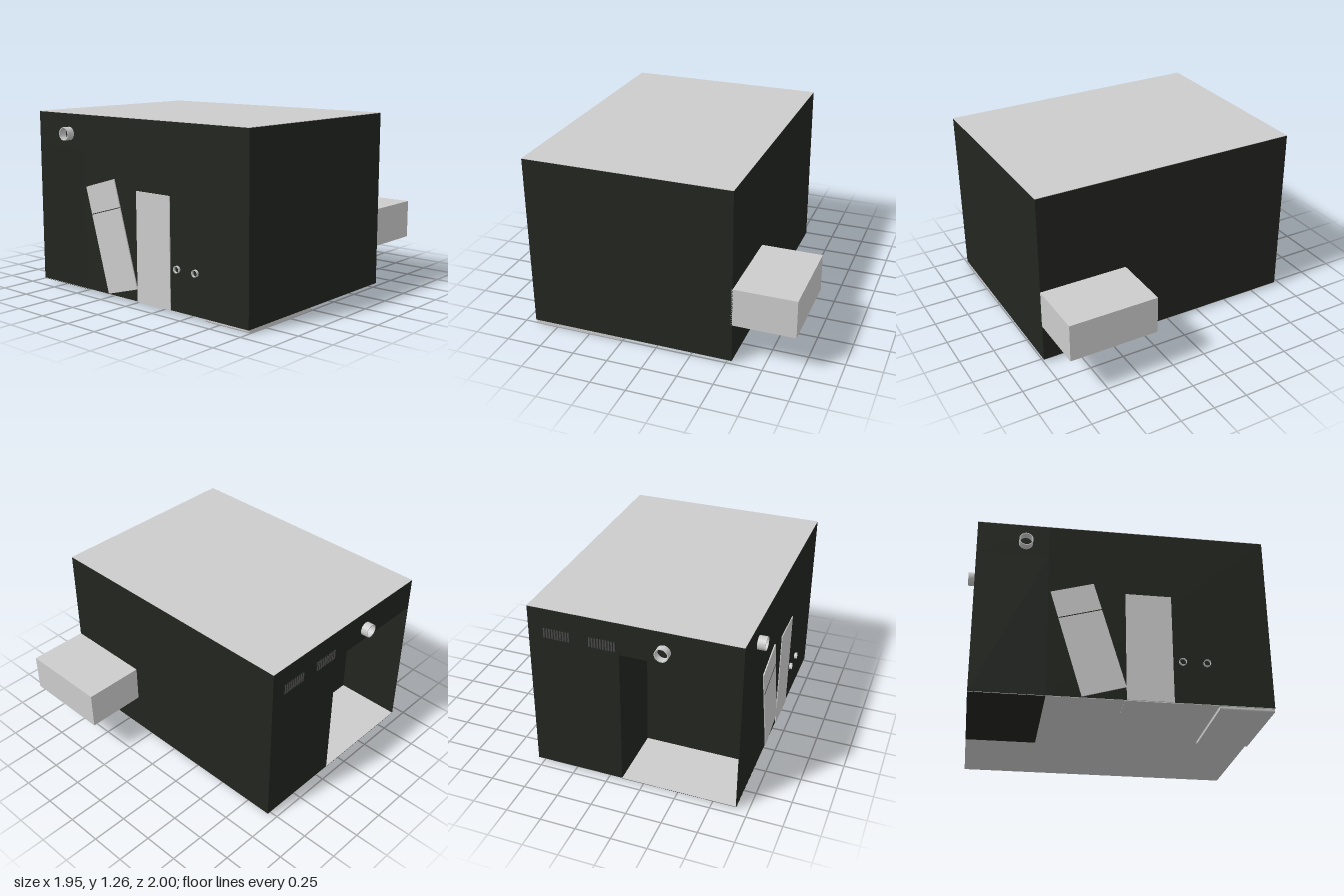
import * as THREE from 'three';

export function createModel() {
  const model = new THREE.Group();
  const grey = new THREE.MeshStandardMaterial({ color: 0xcccccc, side: THREE.DoubleSide });
  const dark = new THREE.MeshStandardMaterial({ color: 0x22251f });
  const slate = new THREE.MeshStandardMaterial({ color: 0x4a4a4a });

  const add = (name, geometry, material, parent = model) => {
    const mesh = new THREE.Mesh(geometry, material);
    mesh.name = name;
    parent.add(mesh);
    return mesh;
  };

  // Box given by its limits on each axis
  const box = (name, material, x0, x1, y0, y1, z0, z1, parent = model) => {
    const mesh = add(name, new THREE.BoxGeometry(x1 - x0, y1 - y0, z1 - z0), material, parent);
    mesh.position.set((x0 + x1) / 2, (y0 + y1) / 2, (z0 + z1) / 2);
    return mesh;
  };

  // Building: main room, back room and the walls around the porch recess
  box('mainRoom', dark, -0.92, 0.54, 0.023, 1.257, -0.47, 1);
  box('backRoom', dark, -0.1, 0.54, 0.023, 1.257, -0.95, -0.47);
  box('porchLintel', dark, -0.92, -0.1, 1.025, 1.257, -0.95, -0.47);
  box('porchSideWall', dark, -0.92, -0.916, 0.023, 1.025, -0.95, -0.47);
  box('roof', grey, -0.92, 0.54, 1.257, 1.26, -0.95, 1);
  box('floor', grey, -0.92, 0.54, 0.02, 0.023, -0.95, 1);
  box('porchUnderside', dark, -0.92, -0.1, 0.018, 0.02, -0.95, -0.47);
  box('porchSlot', grey, -0.83, -0.69, 0.755, 0.762, -0.474, -0.47);

  // Side annex
  box('sideAnnex', grey, 0.53, 0.97, 0.3, 0.57, 0.36, 1);

  // Rounded slab under the front corner
  const w = 0.64, d = 0.36, r = 0.012;
  const slab = new THREE.Shape();
  slab.moveTo(0, 0.02);
  slab.lineTo(0, r);
  slab.quadraticCurveTo(0, 0, r, 0);
  slab.lineTo(w - r, 0);
  slab.quadraticCurveTo(w, 0, w, r);
  slab.lineTo(w, 0.02);
  const slabMesh = add('baseSlab', new THREE.ExtrudeGeometry(slab, { depth: d, bevelEnabled: false }), grey);
  slabMesh.position.set(-0.91, 0, 0.64);

  // Louvred vents on the back wall
  for (const x of [-0.08, 0.24]) {
    const vent = new THREE.Group();
    vent.name = 'louvredVent';
    model.add(vent);
    box('ventPlate', dark, x, x + 0.197, 1.04, 1.12, -0.953, -0.95, vent);
    for (let i = 0; i < 10; i++) {
      const sx = x + 0.006 + i * 0.0193;
      box('ventSlat', slate, sx, sx + 0.01, 1.045, 1.115, -0.957, -0.953, vent);
    }
  }

  // Hollow pipe running along +z, with its mouth at z = 0
  const pipe = (name, radius, length) => {
    const wall = radius * 0.12;
    const profile = [[radius, length], [radius, 0], [radius - wall, 0], [radius - wall, length]]
      .map(([a, b]) => new THREE.Vector2(a, b));
    const geometry = new THREE.LatheGeometry(profile, 32).toNonIndexed();
    geometry.computeVertexNormals();
    geometry.rotateX(Math.PI / 2);
    return add(name, geometry, grey);
  };
  pipe('backVentPipe', 0.048, 0.05).position.set(-0.402, 1.117, -1);
  const sidePipe = (name, radius, length, y, z) => {
    const mesh = pipe(name, radius, length);
    mesh.rotation.y = Math.PI / 2;
    mesh.position.set(-0.92 - length, y, z);
  };
  sidePipe('sideVentPipe', 0.047, 0.055, 1.117, -0.627);
  for (const z of [0.408, 0.567]) sidePipe('smallPipe', 0.024, 0.018, 0.308, z);

  // Upright door panel and the tilted one beside it
  box('uprightDoor', grey, -0.926, -0.92, 0.023, 0.78, 0.04, 0.345);
  const tilted = new THREE.Group();
  tilted.name = 'tiltedDoor';
  tilted.position.set(-0.92, 0.433, -0.208);
  tilted.rotation.x = -0.28;
  model.add(tilted);
  box('doorPanel', grey, -0.008, 0, -0.38, 0.38, -0.147, 0.147, tilted);
  box('doorSeam', dark, -0.01, 0, 0.181, 0.186, -0.147, 0.147, tilted);

  // Thin hatch plate on the underside
  box('floorHatch', grey, -0.92, -0.72, 0.018, 0.02, 0.03, 0.35);

  return model;
}
